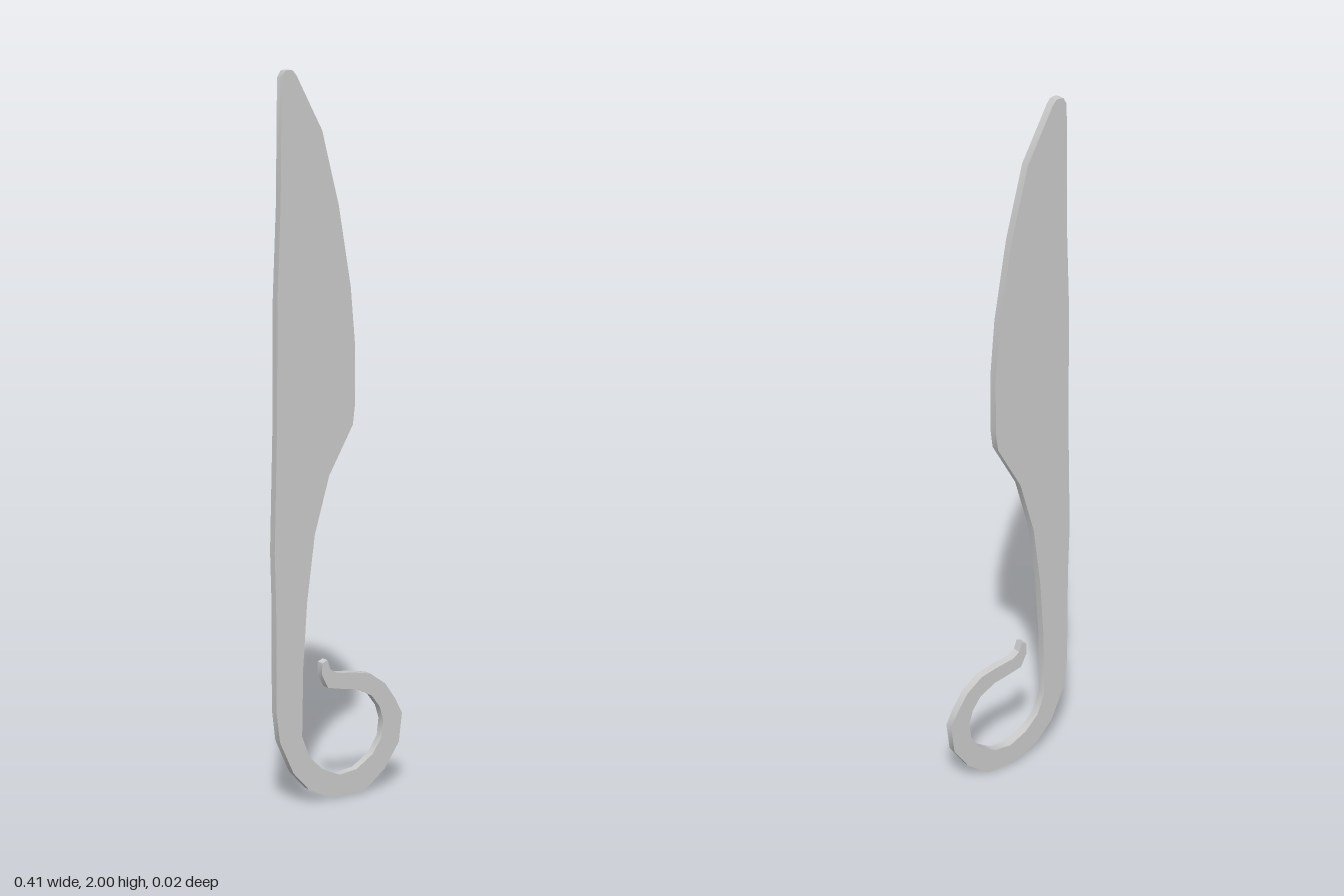
import * as THREE from 'three';
import { toCreasedNormals } from 'three/addons/utils/BufferGeometryUtils.js';

const THICKNESS = 0.024;

// Outline sections, in order around the silhouette
const spine = [[-0.193, 0.19], [-0.204, 0.28], [-0.203, 0.57], [-0.207, 0.72], [-0.198, 1.05], [-0.195, 1.4], [-0.184, 1.65], [-0.179, 1.98]];
const tip = [[-0.168, 1.998], [-0.155, 2], [-0.145, 1.998], [-0.134, 1.985]];
const cuttingEdge = [[-0.055, 1.84], [-0.003, 1.64], [0.035, 1.42], [0.049, 1.26], [0.049, 1.1], [0.042, 1.045]];
const gripFront = [[-0.034, 0.912], [-0.08, 0.755], [-0.105, 0.57], [-0.118, 0.39], [-0.122, 0.195]];
const hookInside = [[-0.098, 0.132], [-0.055, 0.09], [0, 0.065], [0.056, 0.072], [0.11, 0.107], [0.138, 0.15],
  [0.144, 0.2], [0.132, 0.24], [0.106, 0.275], [0.056, 0.302], [0.008, 0.31], [-0.038, 0.32]];
const curledEnd = [[-0.058, 0.36], [-0.056, 0.392], [-0.04, 0.399], [-0.031, 0.372], [-0.01, 0.358]];
const hookOutside = [[0.05, 0.35], [0.1, 0.34], [0.15, 0.304], [0.183, 0.257], [0.207, 0.21], [0.197, 0.127],
  [0.15, 0.058], [0.08, 0.004], [-0.02, 0], [-0.1, 0.04], [-0.15, 0.095]];

export function createModel() {
  const group = new THREE.Group();
  group.name = 'knife';

  // Flat knife cut from one plate: blade, grip and curled hook
  const outline = [spine, tip, cuttingEdge, gripFront, hookInside, curledEnd, hookOutside].flat();
  const shape = new THREE.Shape(outline.map(([x, y]) => new THREE.Vector2(x, y)));
  const plate = new THREE.ExtrudeGeometry(shape, { depth: THICKNESS, bevelEnabled: false });
  plate.translate(0, 0, -THICKNESS / 2);

  // Smooth around the rim, sharp where rim meets the flat faces
  const knife = new THREE.Mesh(
    toCreasedNormals(plate, Math.PI / 5),
    new THREE.MeshStandardMaterial({ color: 0xcccccc })
  );
  knife.name = 'bladeWithHookedHandle';
  group.add(knife);
  return group;
}
